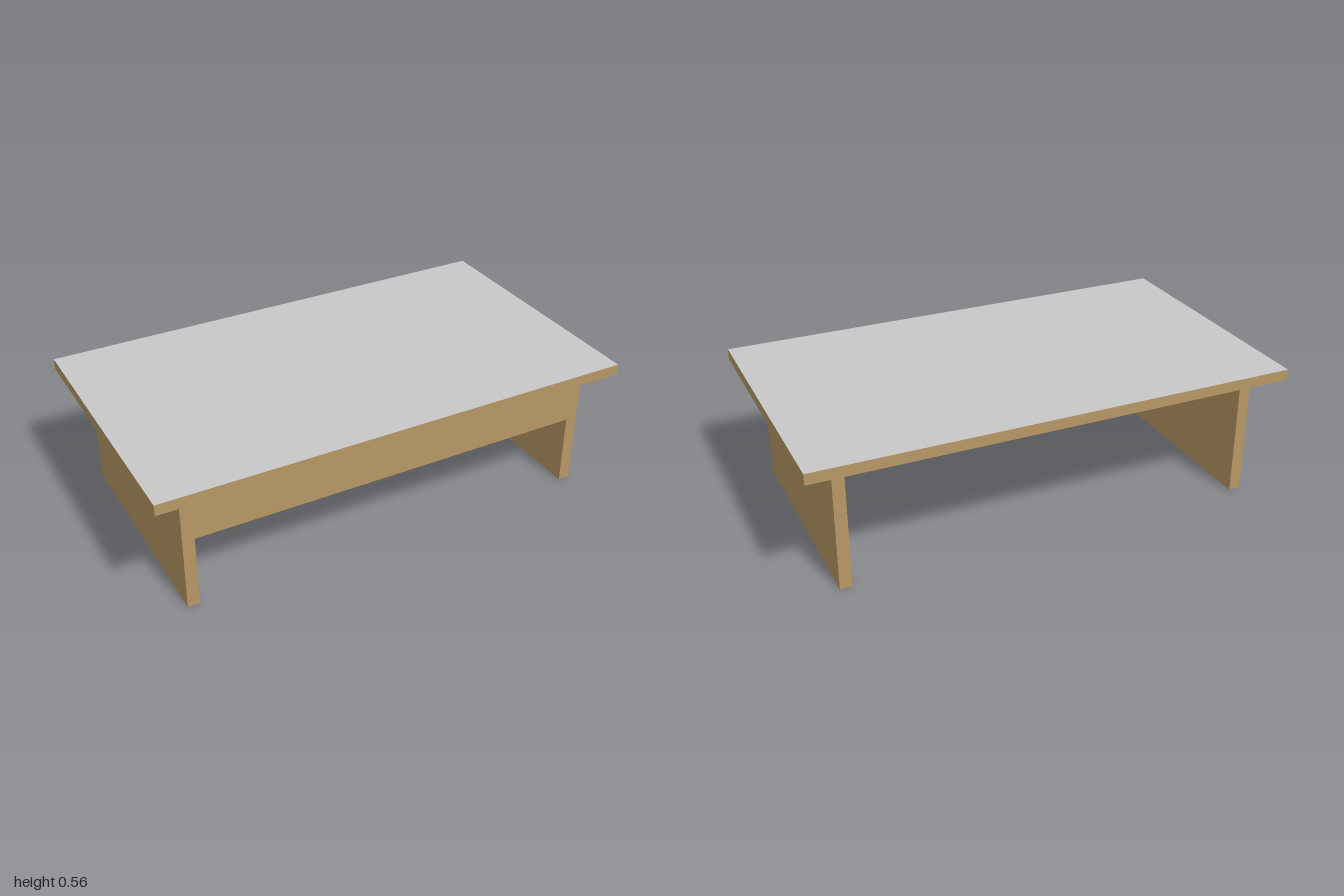
import * as THREE from 'three';

const WOOD = new THREE.MeshStandardMaterial({ color: 0xb89865 });
WOOD.name = 'wood';
const SHEET_WOOD = new THREE.MeshStandardMaterial({ color: 0xb89865, side: THREE.DoubleSide });
SHEET_WOOD.name = 'wood sheet';
const GREY = new THREE.MeshStandardMaterial({ color: 0xc8c8c8 });
GREY.name = 'grey surface';

const HEIGHT = 0.565, UNDERSIDE = 0.52;
const LEG_INNER = 0.835, LEG_OUTER = 0.884, LEG_DEPTH = 0.97;
const PANEL_BOTTOM = 0.305;

function add(group, name, geometry, material, x, y, z) {
  const mesh = new THREE.Mesh(geometry, material);
  mesh.name = name;
  mesh.position.set(x, y, z);
  group.add(mesh);
}

export function createModel() {
  const table = new THREE.Group();
  table.name = 'table';

  // Top slab: grey upper face, wooden edges and underside
  add(table, 'tableTop', new THREE.BoxGeometry(2, HEIGHT - UNDERSIDE, 1.132),
    [WOOD, WOOD, GREY, WOOD, WOOD, WOOD], 0, (HEIGHT + UNDERSIDE) / 2, 0);

  // Slab legs at both ends
  for (const [name, side] of [['leftLeg', 1], ['rightLeg', -1]]) {
    add(table, name, new THREE.BoxGeometry(LEG_OUTER - LEG_INNER, UNDERSIDE, LEG_DEPTH),
      WOOD, side * (LEG_INNER + LEG_OUTER) / 2, UNDERSIDE / 2, 0);
  }

  // Thin front panel, flush with the front of the legs
  add(table, 'frontPanel', new THREE.PlaneGeometry(2 * LEG_INNER, UNDERSIDE - PANEL_BOTTOM),
    SHEET_WOOD, 0, (UNDERSIDE + PANEL_BOTTOM) / 2, LEG_DEPTH / 2);

  return table;
}
